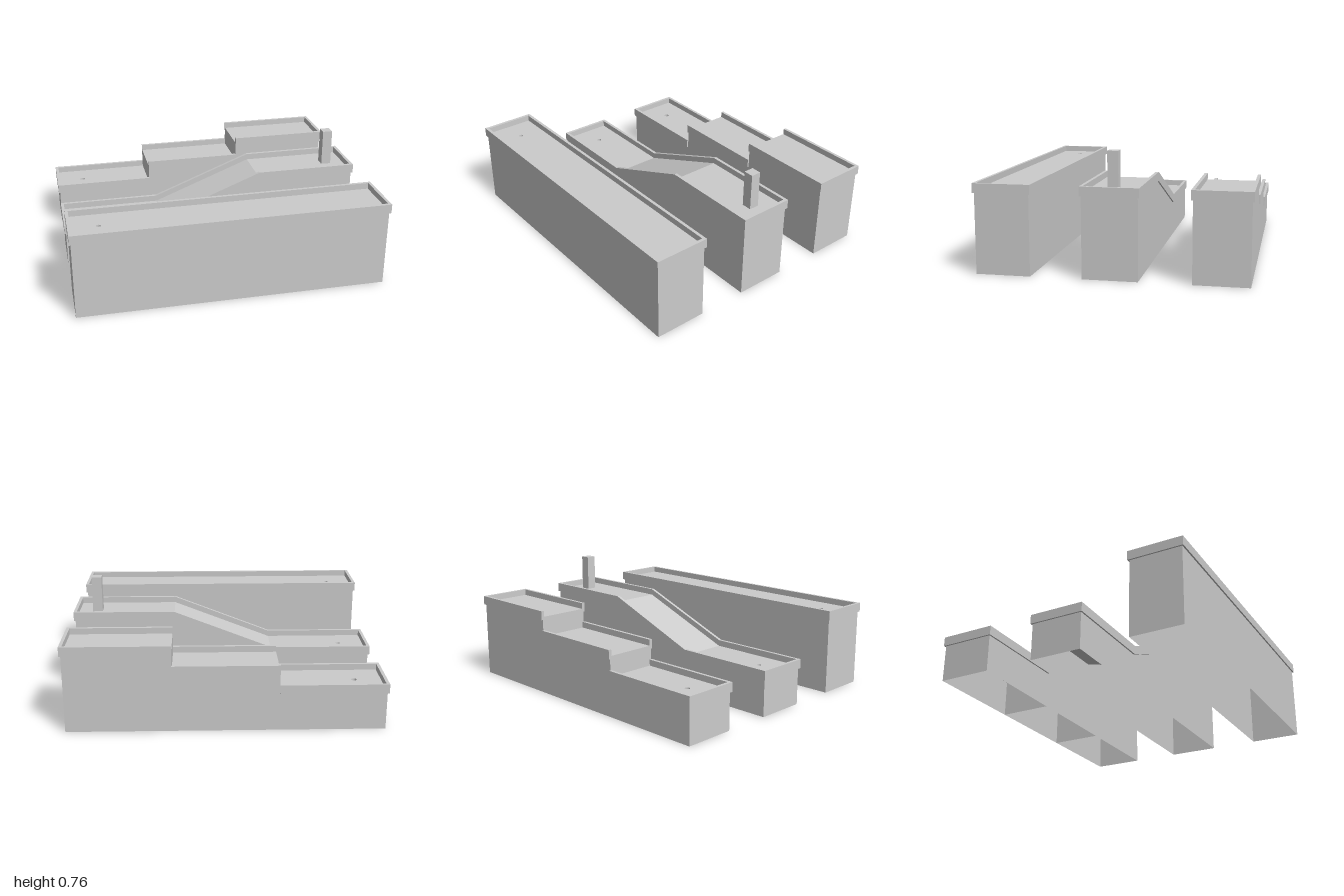
import * as THREE from 'three';

const mat = new THREE.MeshStandardMaterial({ color: 0xcccccc, flatShading: true, side: THREE.DoubleSide });

const HALF = 0.18, WALL = 0.02, INSET = 0.01;   // tray half width, rim thickness, body inset
const FLOOR = 0.02, RIM = 0.06;                 // floor thickness, rim height

function add(parent, name, geometry, x = 0, y = 0, z = 0) {
  const mesh = new THREE.Mesh(geometry, mat);
  mesh.name = name;
  mesh.position.set(x, y, z);
  parent.add(mesh);
  return mesh;
}

// A strip of constant height that follows a path of [x, y] points, extruded across z
function band(path, height, width) {
  const points = [
    ...path.map(([x, y]) => new THREE.Vector2(x, y)),
    ...path.slice().reverse().map(([x, y]) => new THREE.Vector2(x, y + height)),
  ];
  return new THREE.ExtrudeGeometry(new THREE.Shape(points), { depth: width, bevelEnabled: false })
    .translate(0, 0, -width / 2);
}

// Level floor slab with a round drain hole
function drainFloor(x0, x1, radius) {
  const w = HALF - WALL;
  const shape = new THREE.Shape([[x0, -w], [x1, -w], [x1, w], [x0, w]].map(p => new THREE.Vector2(...p)));
  const hole = new THREE.Path();
  hole.absarc(-0.81, 0, radius, 0, Math.PI * 2, true);
  shape.holes.push(hole);
  return new THREE.ExtrudeGeometry(shape, { depth: FLOOR, bevelEnabled: false, curveSegments: 16 })
    .rotateX(Math.PI / 2);
}

// Hollow base, open underneath, whose upper edge follows the path
function addBody(parent, path) {
  const top = path.map(([x, y]) => [THREE.MathUtils.clamp(x, INSET - 1, 1 - INSET), y]);
  const first = top[0], last = top[top.length - 1];
  const w = HALF - INSET;
  const outline = [[first[0], 0], [last[0], 0], ...top.slice().reverse()];
  const side = new THREE.ShapeGeometry(new THREE.Shape(outline.map(p => new THREE.Vector2(...p))));
  add(parent, 'bodyFront', side, 0, 0, w);
  add(parent, 'bodyBack', side.clone().rotateY(Math.PI).scale(-1, 1, 1), 0, 0, -w).geometry = 
    side.clone().applyMatrix4(new THREE.Matrix4().makeRotationY(Math.PI)).translate(0, 0, 0);
  const back = parent.children[parent.children.length - 1];
  back.geometry = reversed(side);
  for (const [[x, y], turn, name] of [[first, -1, 'bodyRightEnd'], [last, 1, 'bodyLeftEnd']]) {
    add(parent, name, new THREE.PlaneGeometry(2 * w, y).rotateY(turn * Math.PI / 2), x, y / 2, 0);
  }
}

// Same outline facing the other way
function reversed(geometry) {
  const g = geometry.clone();
  const index = Array.from(g.index.array).reverse();
  g.setIndex(index);
  g.computeVertexNormals();
  return g;
}

// One length of channel: body, floor, side rims and closed outer ends
function addSection(parent, path, drainRadius) {
  const first = path[0], last = path[path.length - 1];
  addBody(parent, path);

  let rest = path;
  if (drainRadius) {
    const [x1] = path[1];
    add(parent, 'drainFloor', drainFloor(first[0], x1, drainRadius), 0, first[1] + FLOOR, 0);
    rest = path.slice(1);
  }
  if (rest.length > 1) add(parent, 'floor', band(rest, FLOOR, 2 * (HALF - WALL)));

  for (const s of [-1, 1]) {
    add(parent, 'sideRim', band(path, RIM, WALL), 0, 0, s * (HALF - WALL / 2));
  }
  for (const [x, y] of [first, last]) {
    if (Math.abs(x) < 1) continue;
    add(parent, 'endRim', new THREE.BoxGeometry(WALL, RIM, 2 * (HALF - WALL)),
      x - Math.sign(x) * WALL / 2, y + RIM / 2, 0);
  }
}

export function createModel() {
  const model = new THREE.Group();
  model.name = 'channels';
  const K = 0.33, HIGH = 0.5, MID = 0.37, LOW = 0.24;

  const lane = (name, z) => {
    const g = new THREE.Group();
    g.name = name;
    g.position.z = z;
    model.add(g);
    return g;
  };

  // Level channel at the front
  addSection(lane('levelChannel', 0.66), [[-1, HIGH], [1, HIGH]], 0.014);

  // Ramped channel in the middle, with a square post at its high end
  const ramp = lane('rampChannel', 0);
  addSection(ramp, [[-1, LOW], [-K, LOW], [K, HIGH], [1, HIGH]], 0.014);
  add(ramp, 'post', new THREE.BoxGeometry(0.066, 0.24, 0.066), 0.855, HIGH + FLOOR + 0.12, 0);

  // Stepped channel at the back
  const steps = lane('steppedChannel', -0.66);
  addSection(steps, [[-1, LOW], [-K, LOW]], 0.017);
  addSection(steps, [[-K, MID], [K, MID]]);
  addSection(steps, [[K, HIGH], [1, HIGH]]);

  return model;
}
